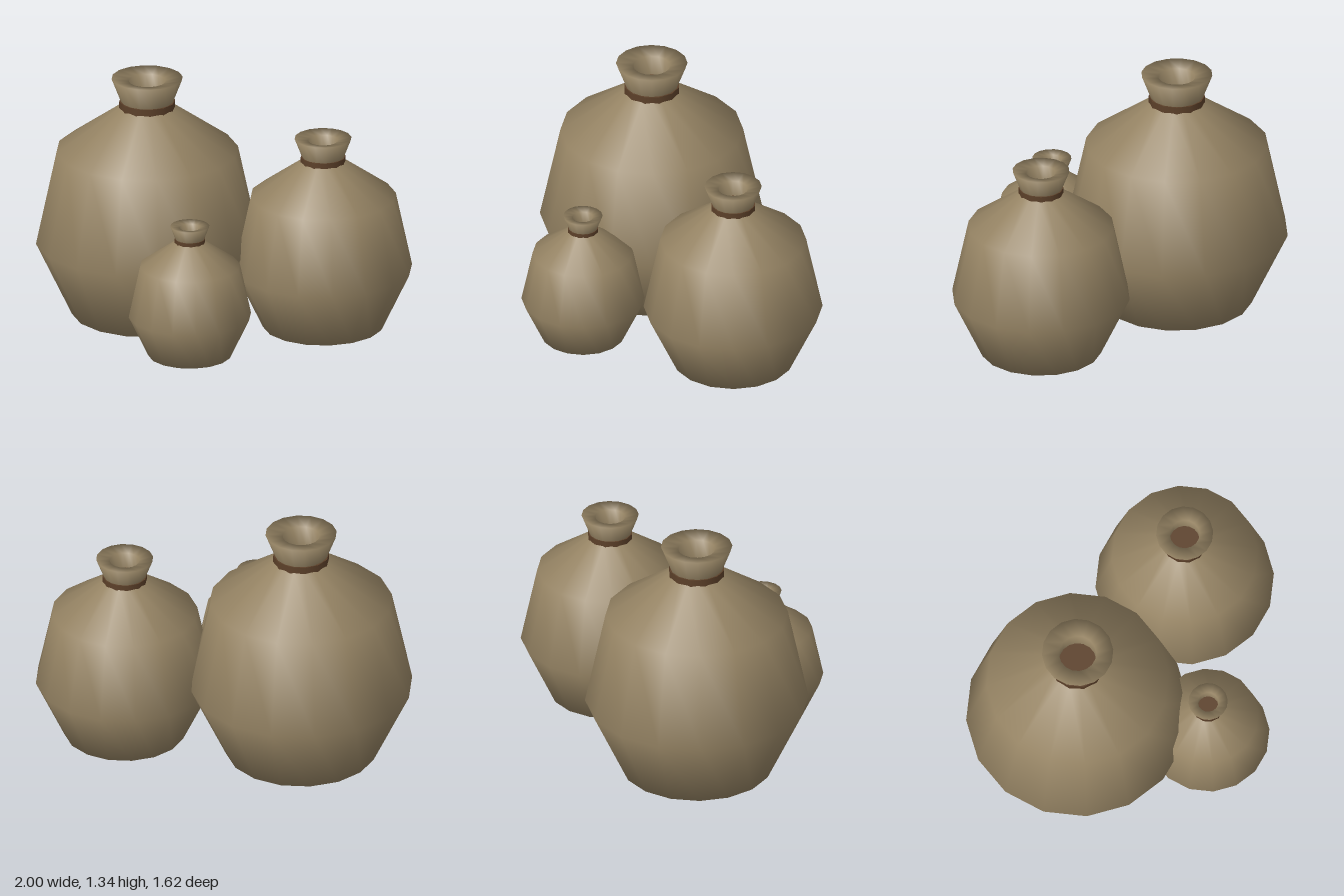
import * as THREE from 'three';

const sackCloth = new THREE.MeshStandardMaterial({ color: 0x968464 });
sackCloth.name = 'sackCloth';
const ropeBrown = new THREE.MeshStandardMaterial({ color: 0x5c4029 });
ropeBrown.name = 'ropeBrown';

// Sack outline from base centre up to the flared rim, then down into the mouth
const profile = [
  [0, 0], [0.405, 0], [0.6, 0.41], [0.49, 0.925], [0.14, 1.175],
  [0.14, 1.2], [0.192, 1.335], [0.1, 1.318], [0.1, 1.19],
].map(([r, y]) => new THREE.Vector2(r, y));

// One tied sack, at full size
function makeSack(name) {
  const sack = new THREE.Group();
  sack.name = name;

  const cloth = new THREE.Mesh(new THREE.LatheGeometry(profile, 16), sackCloth);
  cloth.name = 'sackBody';

  // Tie around the neck; its top also closes the bottom of the mouth
  const tie = new THREE.Mesh(new THREE.CylinderGeometry(0.151, 0.151, 0.045, 12), ropeBrown);
  tie.name = 'neckTie';
  tie.position.y = 1.183;

  sack.add(cloth, tie);
  return sack;
}

export function createModel() {
  const model = new THREE.Group();
  model.name = 'sackPile';

  // name, x, z, scale
  const sacks = [
    ['largeSack', -0.4, -0.21, 1],
    ['mediumSack', 0.515, 0.1, 0.8],
    ['smallSack', -0.245, 0.475, 0.55],
  ];
  for (const [name, x, z, scale] of sacks) {
    const sack = makeSack(name);
    sack.position.set(x, 0, z);
    sack.scale.setScalar(scale);
    model.add(sack);
  }
  return model;
}
